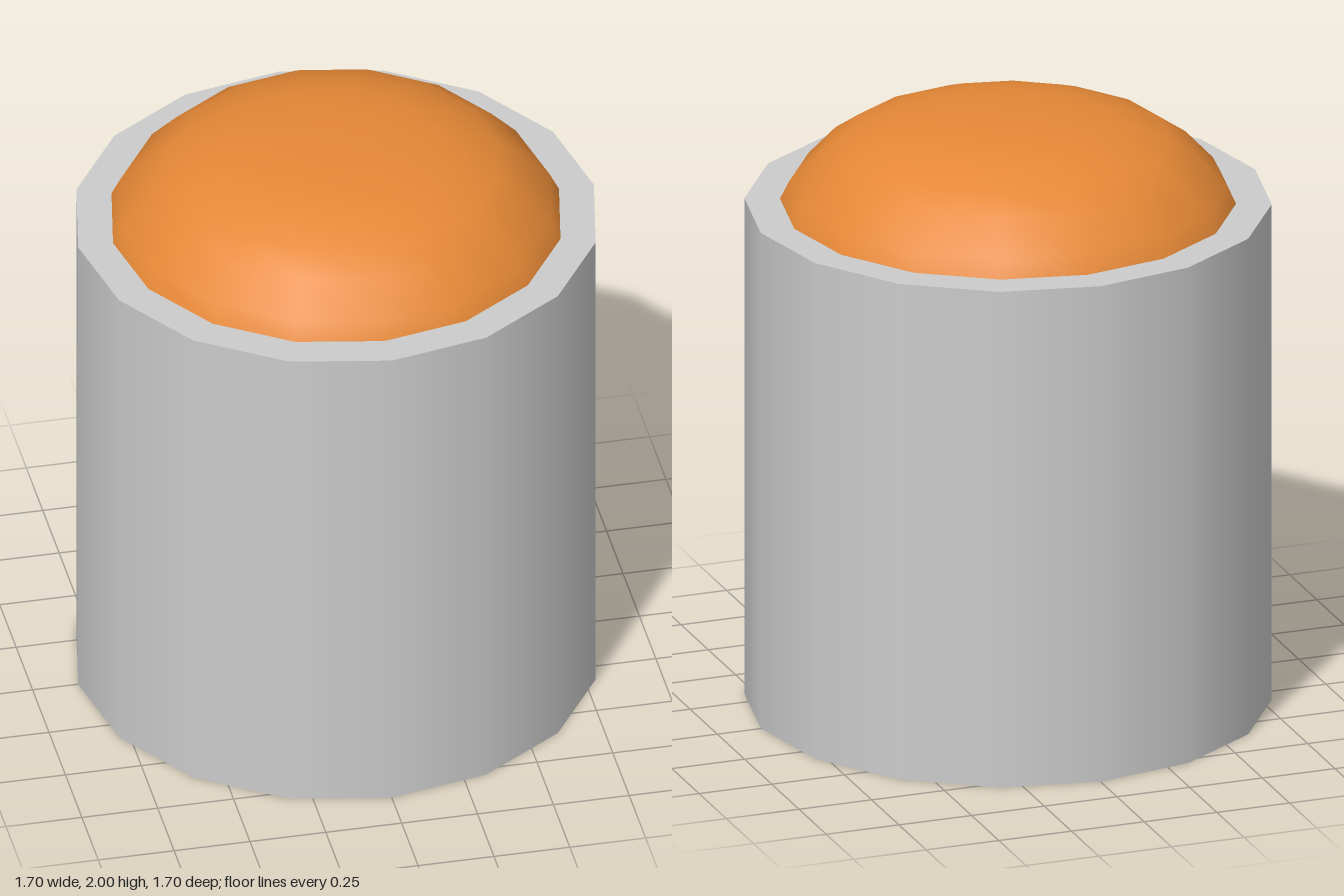
import * as THREE from 'three';

const SIDES = 16;

// Turns a bottom-to-top profile into a named, smooth-shaded mesh
function turned(name, color, profile) {
  const points = profile.map(([r, y]) => new THREE.Vector2(r, y));
  const material = new THREE.MeshStandardMaterial({ color, side: THREE.DoubleSide });
  const mesh = new THREE.Mesh(new THREE.LatheGeometry(points, SIDES), material);
  mesh.name = name;
  return mesh;
}

export function createModel() {
  const model = new THREE.Group();
  model.name = 'domedButton';

  // Hollow body, open at the bottom
  model.add(turned('bodyWall', 0xcccccc, [[0.85, 0], [0.85, 1.7]]));

  // Flat rim between the wall and the dome
  model.add(turned('rim', 0xcccccc, [[0.85, 1.7], [0.735, 1.7]]));

  // Flattened dome on top
  model.add(turned('dome', 0xe58836, [
    [0.735, 1.7], [0.705, 1.76], [0.61, 1.862], [0.53, 1.917], [0.42, 1.96],
    [0.33, 1.98], [0.22, 1.995], [0.12, 2], [0, 2],
  ]));

  return model;
}
